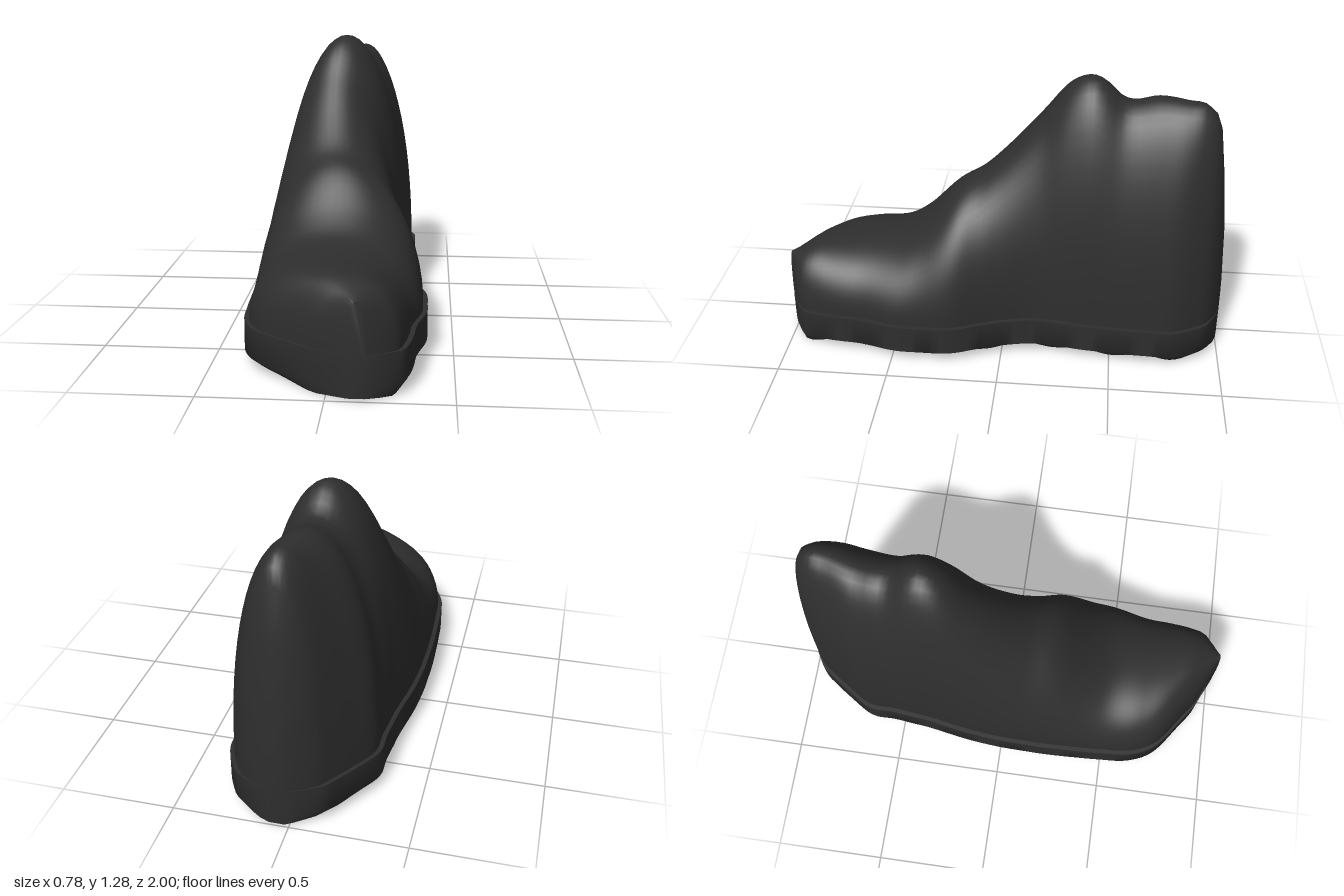
import * as THREE from 'three';
import { toCreasedNormals } from 'three/addons/utils/BufferGeometryUtils.js';

// Stations from heel to toe: z, outline min x, outline max x, height of the upper
const STATIONS = [
  [-1.0, 0.01, 0.09, 0.36], [-0.985, -0.03, 0.14, 0.62], [-0.96, -0.08, 0.19, 0.87],
  [-0.93, -0.13, 0.235, 1.09], [-0.88, -0.17, 0.27, 1.18], [-0.78, -0.24, 0.315, 1.203],
  [-0.66, -0.31, 0.317, 1.203], [-0.55, -0.315, 0.312, 1.18], [-0.5, -0.32, 0.308, 1.195],
  [-0.44, -0.327, 0.303, 1.25], [-0.38, -0.333, 0.298, 1.28], [-0.28, -0.35, 0.283, 1.24],
  [-0.16, -0.37, 0.27, 1.09], [0.0, -0.385, 0.3, 0.905], [0.1, -0.388, 0.335, 0.81],
  [0.22, -0.39, 0.38, 0.735], [0.38, -0.385, 0.388, 0.57], [0.48, -0.38, 0.385, 0.5],
  [0.65, -0.36, 0.345, 0.47], [0.76, -0.3, 0.335, 0.465], [0.87, -0.155, 0.315, 0.455],
  [0.93, -0.07, 0.29, 0.43], [0.965, 0.01, 0.23, 0.415], [1.0, 0.08, 0.16, 0.4],
];
const SOLE_TOP = 0.185;

// Skin a list of closed rings and cap both ends
function loft(rings) {
  const n = rings[0].length, last = (rings.length - 1) * n, index = [];
  for (let i = 0; i < rings.length - 1; i++) {
    for (let j = 0; j < n; j++) {
      const a = i * n + j, b = i * n + (j + 1) % n;
      index.push(a, b, a + n, b, b + n, a + n);
    }
  }
  for (let j = 1; j < n - 1; j++) {
    index.push(0, j + 1, j);
    index.push(last, last + j, last + j + 1);
  }
  const geometry = new THREE.BufferGeometry();
  geometry.setAttribute('position', new THREE.Float32BufferAttribute(rings.flat(2), 3));
  geometry.setIndex(index);
  return toCreasedNormals(geometry, 0.95);
}

// Arched section of the upper, slightly inset from the sole edge
function upperRing(z, cx, hw, top) {
  const ring = [], steps = 32, base = SOLE_TOP - 0.015;
  const p = 2 + 0.4 * THREE.MathUtils.smoothstep(z, 0.2, 0.8);
  const w = hw - 0.02 * Math.min(1, hw / 0.2);
  for (let j = 0; j <= steps; j++) {
    const a = Math.PI * j / steps, c = Math.cos(a), s = Math.max(0, Math.sin(a));
    ring.push([cx + w * Math.sign(c) * Math.abs(c) ** (2 / p), base + (top - base) * s ** (2 / p), z]);
  }
  return ring;
}

// Sole section with a bevelled lower edge and a wavy tread
function soleRing(z, cx, hw) {
  const bottom = 0.011 - 0.01 * Math.cos(2 * Math.PI * (z - 0.06) / 0.285);
  return [[1, SOLE_TOP], [-1, SOLE_TOP], [-1, 0.055], [-0.82, bottom], [0.82, bottom], [1, 0.055]]
    .map(([x, y]) => [cx + hw * x, y, z]);
}

export function createModel() {
  const group = new THREE.Group();
  group.name = 'shoe';
  const charcoal = new THREE.MeshStandardMaterial({ color: 0x2e2e2e });
  charcoal.name = 'charcoal';

  // Smooth interpolation between the stations
  const curve = new THREE.CubicInterpolant(
    STATIONS.map((s) => s[0]), STATIONS.flatMap((s) => s.slice(1)), 3);
  const upper = [], sole = [];
  for (let i = 0; i < STATIONS.length; i++) {
    const z0 = STATIONS[i][0];
    const next = STATIONS[i + 1];
    const parts = next ? Math.max(1, Math.round((next[0] - z0) / 0.025)) : 1;
    for (let k = 0; k < parts; k++) {
      const z = next ? z0 + (next[0] - z0) * k / parts : z0;
      const [x0, x1, top] = k === 0 ? STATIONS[i].slice(1) : curve.evaluate(z);
      const cx = (x0 + x1) / 2, hw = (x1 - x0) / 2;
      upper.push(upperRing(z, cx, hw, top));
      sole.push(soleRing(z, cx, hw));
    }
  }

  for (const [name, rings] of [['upper', upper], ['sole', sole]]) {
    const mesh = new THREE.Mesh(loft(rings), charcoal);
    mesh.name = name;
    group.add(mesh);
  }
  return group;
}
